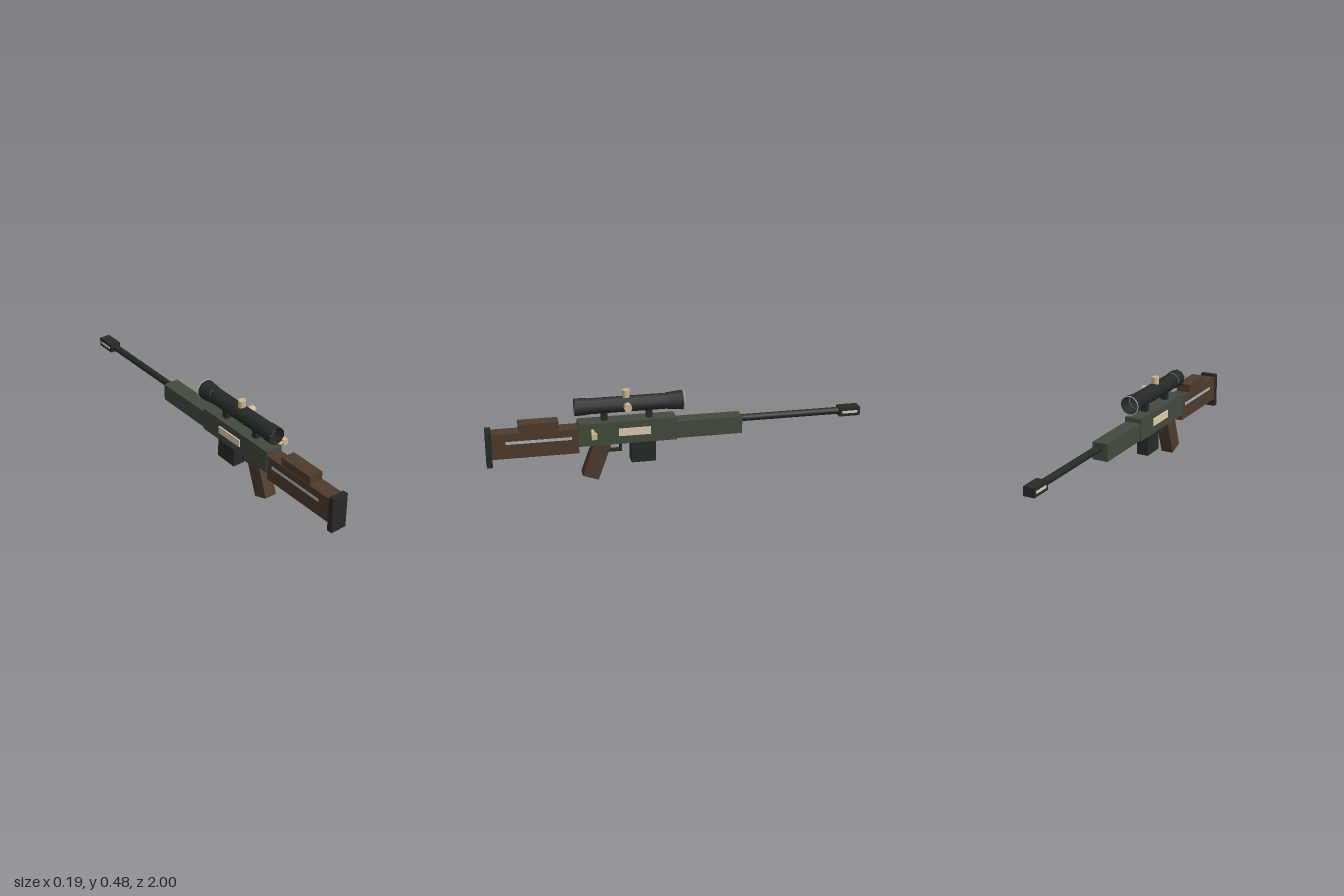
import * as THREE from 'three';

const mat = (color, extra = {}) => new THREE.MeshStandardMaterial({ color, ...extra });

export function createModel() {
  const root = new THREE.Group();
  const rifle = new THREE.Group();
  rifle.name = 'rifle';
  rifle.position.x = -0.042; // the bolt handle sticks out to +x
  root.add(rifle);

  const black = mat(0x262a27);
  const blackOpen = mat(0x262a27, { side: THREE.DoubleSide });
  const green = mat(0x414b3c);
  const wood = mat(0x4e3b2d);
  const brass = mat(0xc8b88e);
  const pale = mat(0xdccbb0);
  const silver = mat(0xaeb2b8);
  const red = mat(0xaa2222);

  const add = (name, geometry, material, x = 0, y = 0, z = 0) => {
    const mesh = new THREE.Mesh(geometry, material);
    mesh.name = name;
    mesh.position.set(x, y, z);
    rifle.add(mesh);
    return mesh;
  };
  // Box centred on x, given by its width and its y and z ranges
  const block = (name, material, w, y0, y1, z0, z1, x = 0) =>
    add(name, new THREE.BoxGeometry(w, y1 - y0, z1 - z0), material, x, (y0 + y1) / 2, (z0 + z1) / 2);
  // Cylinder along z with its own radius at each end
  const tubeZ = (name, material, y, z0, r0, z1, r1, sides, open) => {
    const g = new THREE.CylinderGeometry(r1, r0, z1 - z0, sides, 1, open);
    g.rotateX(Math.PI / 2);
    return add(name, g, material, 0, y, (z0 + z1) / 2);
  };

  // Stock
  block('buttPlate', black, 0.09, 0.12, 0.31, 0.97, 1);
  block('stock', wood, 0.084, 0.163, 0.298, 0.525, 0.97);
  block('cheekRest', wood, 0.077, 0.298, 0.342, 0.625, 0.83);
  block('stockStripe', silver, 0.088, 0.241, 0.256, 0.56, 0.9);

  // Receiver and barrel
  block('receiver', green, 0.094, 0.2, 0.322, 0.012, 0.525);
  block('sidePlate', pale, 0.108, 0.245, 0.285, 0.15, 0.317);
  block('handguard', green, 0.085, 0.205, 0.298, -0.342, 0.012);
  tubeZ('barrel', black, 0.275, -0.9, 0.019, -0.34, 0.019, 12, false);
  block('muzzleBrake', black, 0.06, 0.25, 0.298, -1, -0.885);
  block('muzzleSlots', pale, 0.064, 0.266, 0.28, -0.985, -0.9);

  // Grip, magazine and trigger
  const grip = add('grip', new THREE.BoxGeometry(0.068, 0.2, 0.088), wood, 0, 0.109, 0.434);
  grip.rotation.x = -0.35;
  block('magazine', black, 0.066, 0.083, 0.2, 0.12, 0.25);
  block('triggerGuardBottom', black, 0.03, 0.146, 0.156, 0.3, 0.385);
  block('triggerGuardFront', black, 0.03, 0.146, 0.2, 0.298, 0.308);
  const trigger = block('trigger', brass, 0.014, 0.165, 0.205, 0.358, 0.368);
  trigger.rotation.x = 0.3;

  // Bolt handle
  const stem = new THREE.CylinderGeometry(0.01, 0.01, 0.075, 12).rotateZ(Math.PI / 2);
  add('boltStem', stem, brass, 0.0755, 0.283, 0.455);
  block('boltKnob', brass, 0.029, 0.268, 0.298, 0.441, 0.469, 0.1225);

  // Scope: open ten-sided tubes with a corner at the top
  const sy = 0.402;
  tubeZ('scopeTube', blackOpen, sy, 0.055, 0.043, 0.475, 0.043, 10, true);
  tubeZ('scopeEyepiece', blackOpen, sy, 0.475, 0.046, 0.54, 0.047, 10, true);
  tubeZ('scopeObjective', blackOpen, sy, -0.025, 0.053, 0.055, 0.045, 10, true);
  const lensRing = add('lensRing', new THREE.TorusGeometry(0.051, 0.003, 6, 20), silver, 0, sy, -0.031);
  lensRing.rotation.z = Math.PI / 2;
  add('reticleDot', new THREE.BoxGeometry(0.005, 0.005, 0.005), red, 0, sy, 0.27);
  for (const z of [0.15, 0.386]) block('scopeMount', black, 0.033, 0.32, 0.372, z - 0.016, z + 0.016);

  // Scope adjustment knobs on the top and the left
  const knob = (h) => new THREE.CylinderGeometry(0.02, 0.02, h, 16);
  add('elevationKnob', knob(0.051), brass, 0, 0.4535, 0.27);
  add('windageKnob', knob(0.05).rotateZ(Math.PI / 2), brass, 0.051, sy, 0.27);

  return root;
}
